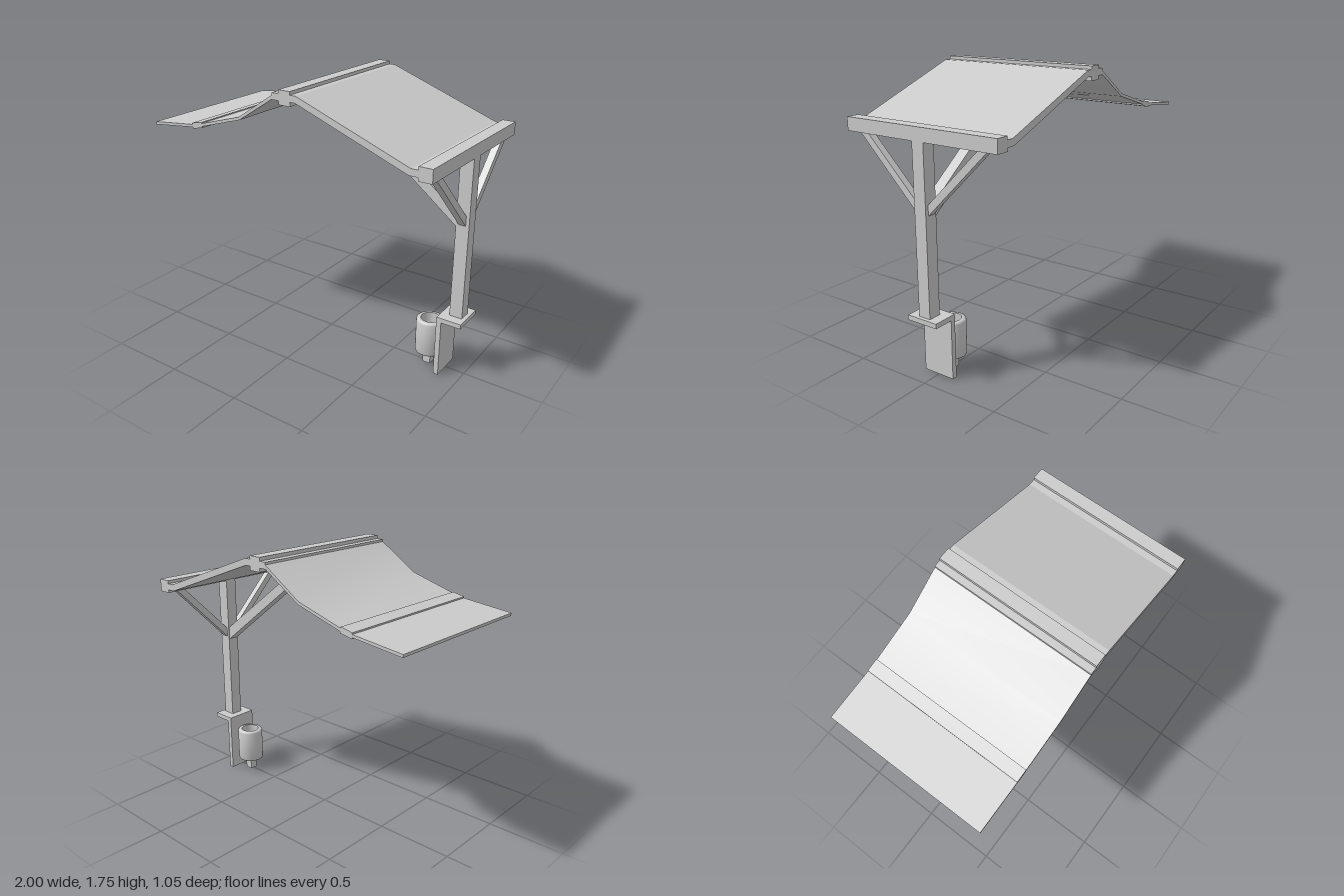
import * as THREE from 'three';
import { toCreasedNormals } from 'three/addons/utils/BufferGeometryUtils.js';

const DEPTH = 1.05; // canopy size along z

export function createModel() {
  const model = new THREE.Group();
  model.name = 'canopyShelter';
  const material = new THREE.MeshStandardMaterial({ color: 0xcccccc });

  const add = (name, geometry) => {
    const mesh = new THREE.Mesh(geometry, material);
    mesh.name = name;
    model.add(mesh);
    return mesh;
  };

  // Box given by its extents in x and y and its width in z
  const box = (name, x0, x1, y0, y1, width) =>
    add(name, new THREE.BoxGeometry(x1 - x0, y1 - y0, width))
      .position.set((x0 + x1) / 2, (y0 + y1) / 2, 0);

  // Outline extruded symmetrically about z = 0
  const prism = (points, width) => {
    const shape = new THREE.Shape(points.map(([x, y]) => new THREE.Vector2(x, y)));
    return new THREE.ExtrudeGeometry(shape, { depth: width, bevelEnabled: false })
      .translate(0, 0, -width / 2);
  };

  // Canopy: edge beam, rigid roof, ridge, curved awning, clip and end flap
  box('edgeBeam', 0.893, 0.975, 1.405, 1.485, DEPTH);
  add('roofPanel', prism([
    [0.893, 1.465], [0.85, 1.465], [0.13, 1.73], [0.09, 1.73],
    [0.09, 1.69], [0.125, 1.69], [0.84, 1.425], [0.893, 1.425],
  ], DEPTH));
  box('ridgeBeam', 0.01, 0.09, 1.665, 1.75, DEPTH);
  box('ridgeClip', -0.035, 0.01, 1.688, 1.728, DEPTH);
  add('awning', toCreasedNormals(prism([
    [-0.025, 1.72], [-0.29, 1.549], [-0.6, 1.459],
    [-0.6, 1.44], [-0.285, 1.532], [-0.02, 1.7],
  ], DEPTH), 0.5));
  add('awningClip', prism([
    [-0.595, 1.468], [-0.675, 1.452], [-0.672, 1.417], [-0.592, 1.433],
  ], DEPTH));
  add('endFlap', prism([
    [-0.67, 1.443], [-1, 1.408], [-0.998, 1.39], [-0.67, 1.426],
  ], DEPTH));

  // Post and braces
  box('post', 0.893, 0.975, 0.4, 1.405, 0.08);
  add('roofBrace', prism([
    [0.893, 1.067], [0.1, 1.667], [0.01, 1.667], [0.893, 0.982],
  ], 0.07));
  for (const side of [1, -1]) {
    const outline = [[0.04, 1.0], [0.447, 1.405], [0.387, 1.405], [0.04, 1.062]]
      .map(([z, y]) => [-side * z, y]);
    const brace = add(side > 0 ? 'frontBrace' : 'backBrace', prism(outline, 0.044));
    brace.rotation.y = Math.PI / 2;
    brace.position.x = 0.932;
  }

  // L-shaped mounting bracket
  add('bracket', prism([
    [0.84, 0], [0.872, 0], [0.872, 0.37], [0.998, 0.37], [0.998, 0.4], [0.84, 0.4],
  ], 0.21));

  // Hollow cup with rounded rims on a square peg
  const profile = [
    [0, 0.08], [0.075, 0.08], [0.084, 0.084], [0.0875, 0.093],
    [0.0875, 0.302], [0.084, 0.311], [0.075, 0.315],
    [0.06, 0.315], [0.06, 0.1], [0, 0.1],
  ].map(([r, y]) => new THREE.Vector2(r, y));
  add('cup', toCreasedNormals(new THREE.LatheGeometry(profile, 40), 0.8)).position.x = 0.75;
  box('cupPeg', 0.723, 0.775, 0, 0.085, 0.052);

  return model;
}
